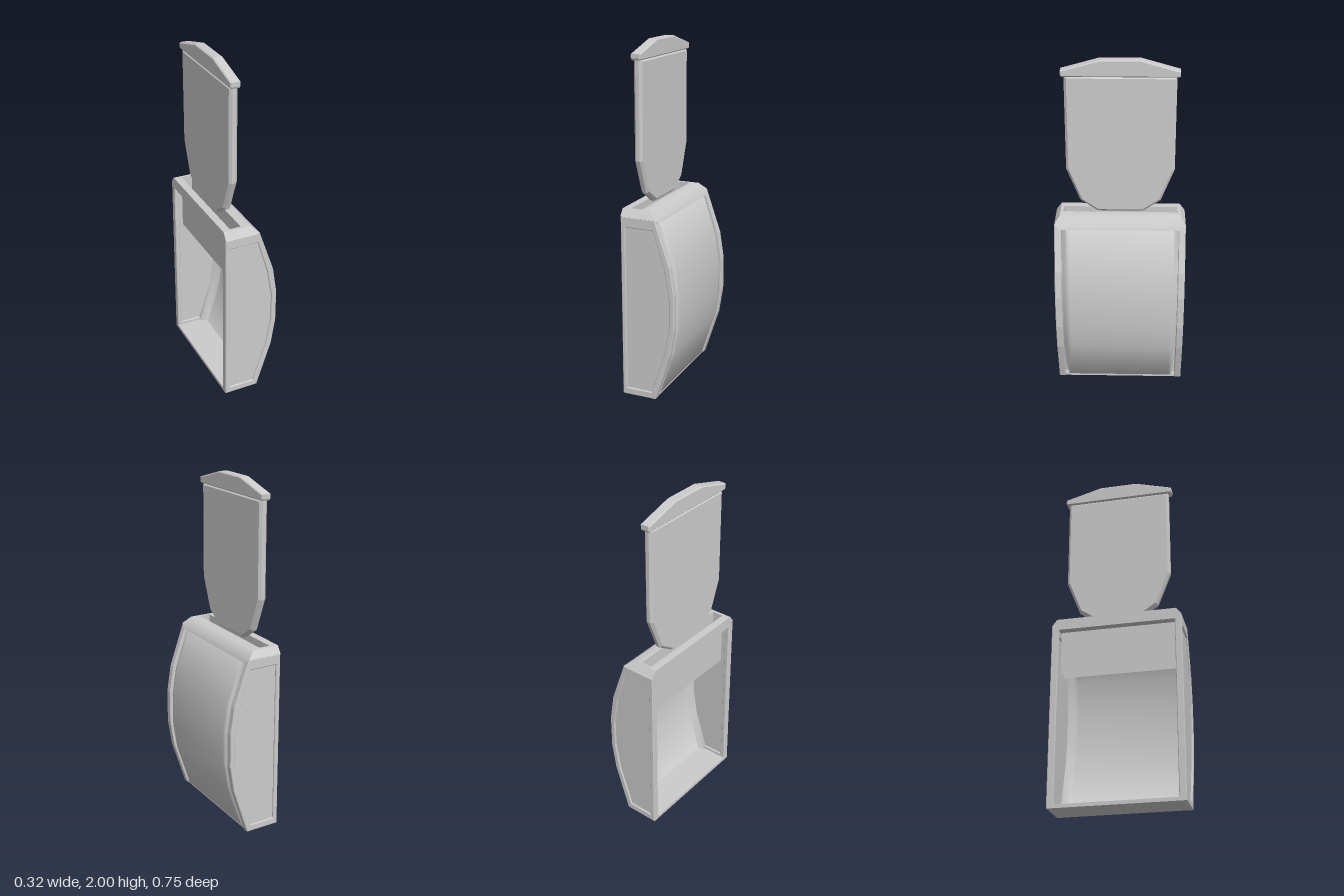
import * as THREE from 'three';
import { toCreasedNormals } from 'three/addons/utils/BufferGeometryUtils.js';

const material = new THREE.MeshStandardMaterial({ color: 0xcccccc });
const sheetMaterial = new THREE.MeshStandardMaterial({ color: 0xcccccc, side: THREE.DoubleSide });

const toPoints = (list) => list.map(([x, y]) => new THREE.Vector2(x, y));

// Joins rows of points into a surface; each row has the same length.
function loft(rows, closed, crease) {
  const n = rows[0].length;
  const index = [];
  for (let r = 0; r < rows.length - 1; r++) {
    for (let i = 0; i < (closed ? n : n - 1); i++) {
      const j = (i + 1) % n;
      const a = r * n + i, b = r * n + j, c = a + n, d = b + n;
      index.push(a, b, d, a, d, c);
    }
  }
  const geometry = new THREE.BufferGeometry();
  geometry.setAttribute('position', new THREE.Float32BufferAttribute(rows.flat(2), 3));
  geometry.setIndex(index);
  return toCreasedNormals(geometry, crease);
}

// Extrudes an outline drawn in z and y along x, with chamfered rims.
function plateAlongX(outline, x0, x1, bevel) {
  const geometry = new THREE.ExtrudeGeometry(new THREE.Shape(toPoints(outline)), {
    depth: x1 - x0 - 2 * bevel, bevelThickness: bevel, bevelSize: bevel,
    bevelOffset: -bevel, bevelSegments: 1,
  });
  return geometry.rotateY(Math.PI / 2).translate(x0 + bevel, 0, 0);
}

const mirrorOutline = (half) => [...half, ...half.map(([z, y]) => [-z, y]).reverse()];

export function createModel() {
  const model = new THREE.Group();
  const add = (name, geometry, mat = material, parent = model) => {
    const mesh = new THREE.Mesh(geometry, mat);
    mesh.name = name;
    parent.add(mesh);
    return mesh;
  };

  // Side walls: a bowed frame holding a thinner inset panel
  const wallOutline = [[-0.16, 0], [0.045, 0], [0.135, 0.28], [0.16, 0.44],
    [0.16, 0.64], [0.135, 0.8], [0.045, 1.06], [-0.16, 1.06]];
  const panelOutline = [[-0.133, 0.04], [0.02, 0.04], [0.1, 0.28], [0.13, 0.45],
    [0.13, 0.62], [0.1, 0.79], [0.035, 1.0], [-0.133, 1.0]];
  const frame = new THREE.Shape(toPoints(wallOutline));
  frame.holes.push(new THREE.Path(toPoints(panelOutline)));
  const frameGeometry = new THREE.ExtrudeGeometry(frame, {
    depth: 0.032, bevelThickness: 0.004, bevelSize: 0.004, bevelOffset: -0.004, bevelSegments: 1,
  }).translate(0, 0, -0.016);
  const panelGeometry = new THREE.ExtrudeGeometry(new THREE.Shape(toPoints(panelOutline)),
    { depth: 0.02, bevelEnabled: false }).translate(0, 0, -0.01);
  for (const [name, side] of [['nearWall', 1], ['farWall', -1]]) {
    const wall = new THREE.Group();
    wall.name = name;
    wall.position.z = side * 0.355;
    add(name + 'Frame', frameGeometry, material, wall);
    add(name + 'Panel', panelGeometry, material, wall);
    model.add(wall);
  }

  // Bowed cover, raised in the middle with a groove next to each wall
  const bow = [[0.05, 0.02], [0.133, 0.28], [0.158, 0.44], [0.158, 0.64], [0.133, 0.8], [0.056, 1.025]];
  const columns = [[-0.34, 0.045], [-0.328, 0.04], [-0.31, 0.003], [-0.29, 0],
    [0.29, 0], [0.31, 0.003], [0.328, 0.04], [0.34, 0.045]];
  const bowRows = (inset) => [[0.02, 0.002], ...bow, [0.025, 1.04]].map(([x, y], r) =>
    columns.map(([z, dx]) => [x - inset - (r > 0 && r < 7 ? dx : 0), y, -z]));
  add('bowedCover', loft(bowRows(0), false, 1.0), sheetMaterial);
  add('coverLining', loft(bowRows(0.02), false, 1.0), sheetMaterial);

  // Floor
  add('floor', new THREE.BoxGeometry(0.2, 0.02, 0.68).translate(-0.06, 0.01, 0));

  // Chamfered top with a slot whose lining hangs down inside
  const ring = (x0, x1, z, y) => [[x0, y, z], [x1, y, z], [x1, y, -z], [x0, y, -z]];
  add('slottedTop', loft([
    ring(-0.115, -0.05, 0.328, 0.78),
    ring(-0.115, -0.05, 0.328, 1.1),
    ring(-0.16, 0, 0.345, 1.1),
    ring(-0.16, 0.045, 0.375, 1.06),
    ring(-0.16, 0.056, 0.34, 1.035),
    ring(-0.115, -0.05, 0.328, 1.035),
  ].reverse(), true, 0.9), sheetMaterial);

  // Upright insert with tapered lower end, and its peaked cap
  add('insertPlate', plateAlongX(mirrorOutline(
    [[0.13, 1.097], [0.23, 1.165], [0.307, 1.36], [0.307, 1.91]]), -0.107, -0.058, 0.014));
  add('insertCap', plateAlongX(mirrorOutline(
    [[0.32, 1.905], [0.325, 1.915], [0.325, 1.94], [0.11, 2.0]]), -0.112, -0.054, 0.006));

  return model;
}
